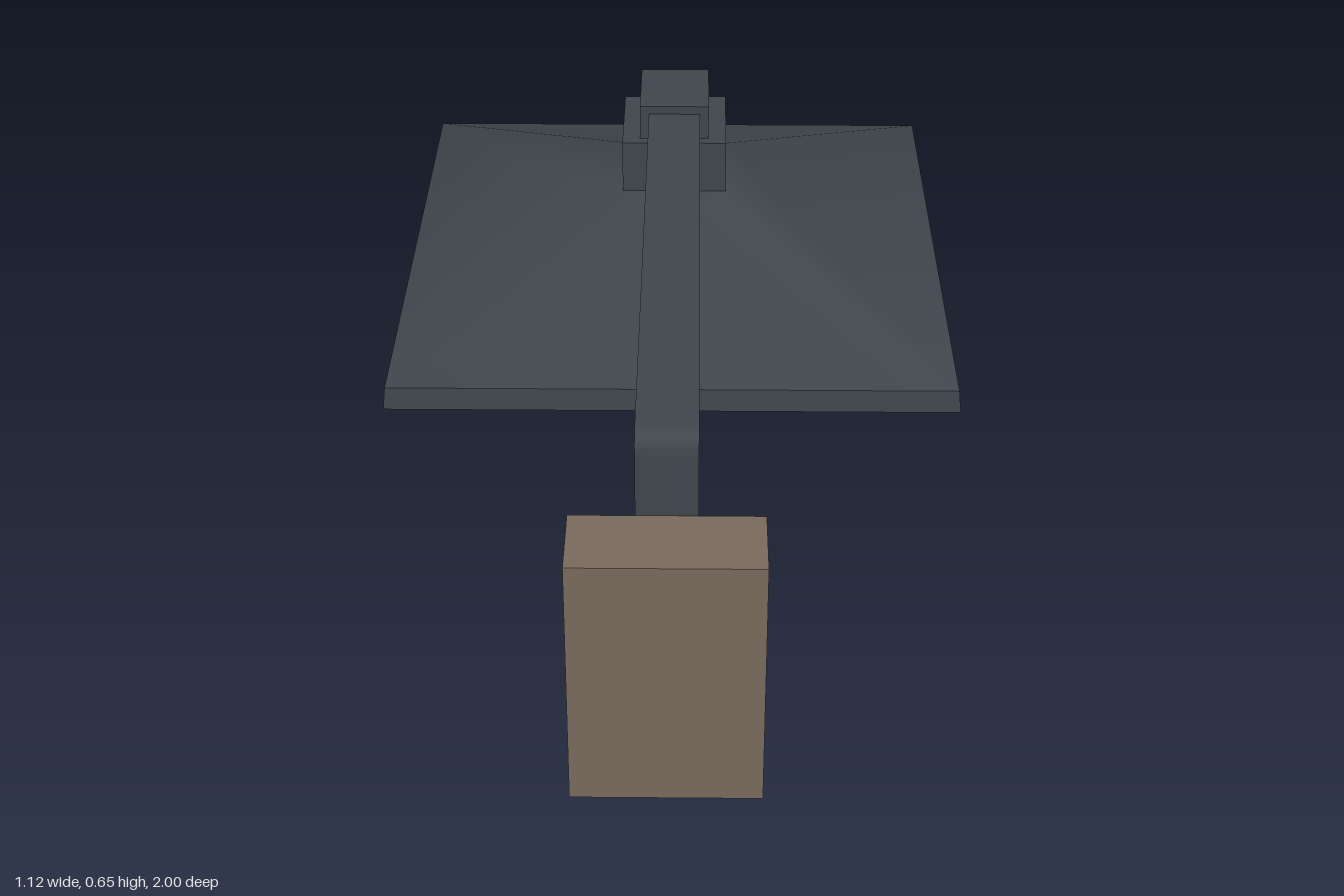
import * as THREE from 'three';

export function createModel() {
  const model = new THREE.Group();
  const metal = new THREE.MeshStandardMaterial({ color: 0x40464c, side: THREE.DoubleSide });
  metal.name = 'dark metal';
  const wood = new THREE.MeshStandardMaterial({ color: 0x7a6b5d });
  wood.name = 'brown wood';
  const glass = new THREE.MeshStandardMaterial({ color: 0xa09892 });
  glass.name = 'bulb glass';

  const lampZ = -0.412;

  function add(name, geometry, material, x, y, z, parent = model) {
    const mesh = new THREE.Mesh(geometry, material);
    mesh.name = name;
    mesh.position.set(x, y, z);
    parent.add(mesh);
    return mesh;
  }

  // Mounting block
  add('mountingBlock', new THREE.BoxGeometry(0.326, 0.48, 0.143), wood, 0, 0.24, 0.9285);

  // Flat bar bent once: up the block, then out to the lamp (drawn in z, y)
  const bar = new THREE.Shape();
  bar.moveTo(0.857, 0.047);
  bar.lineTo(0.857, 0.597);
  bar.quadraticCurveTo(0.857, 0.636, 0.818, 0.636);
  bar.lineTo(-0.34, 0.636);
  bar.lineTo(-0.34, 0.601);
  bar.lineTo(0.785, 0.601);
  bar.quadraticCurveTo(0.82, 0.601, 0.82, 0.566);
  bar.lineTo(0.82, 0.047);
  bar.closePath();
  const barGeometry = new THREE.ExtrudeGeometry(bar, { depth: 0.104, bevelEnabled: false, curveSegments: 5 });
  barGeometry.translate(0, 0, -0.052);
  barGeometry.rotateY(-Math.PI / 2);
  add('arm', barGeometry, metal, 0, 0, 0);

  // Stepped lamp holder
  add('holderCap', new THREE.BoxGeometry(0.14, 0.075, 0.18), metal, 0, 0.6155, lampZ);
  add('holderCollar', new THREE.BoxGeometry(0.212, 0.112, 0.222), metal, 0, 0.525, lampZ);

  // Four-sided shade: thick sheet with a sloping roof, a slightly flared edge and a matching underside
  const shade = new THREE.Group();
  shade.name = 'shade';
  shade.position.z = lampZ;
  shade.scale.x = 0.952;
  model.add(shade);
  function squareBand(name, topHalf, bottomHalf, topY, bottomY) {
    const geometry = new THREE.CylinderGeometry(
      topHalf * Math.SQRT2, bottomHalf * Math.SQRT2, topY - bottomY, 4, 1, true, Math.PI / 4);
    return add(name, geometry, metal, 0, (topY + bottomY) / 2, 0, shade);
  }
  squareBand('shadeRoof', 0.11, 0.583, 0.472, 0.286);
  squareBand('shadeUnderside', 0, 0.588, 0.468, 0.24);
  const edge = squareBand('shadeEdge', 0.583, 0.588, 0.286, 0.24);
  edge.geometry = edge.geometry.toNonIndexed();
  edge.geometry.computeVertexNormals();

  // Bulb hanging inside the shade
  const bulb = add('bulb', new THREE.SphereGeometry(1, 10, 5), glass, 0, 0.288, lampZ + 0.005);
  bulb.scale.set(0.11, 0.14, 0.11);

  return model;
}
